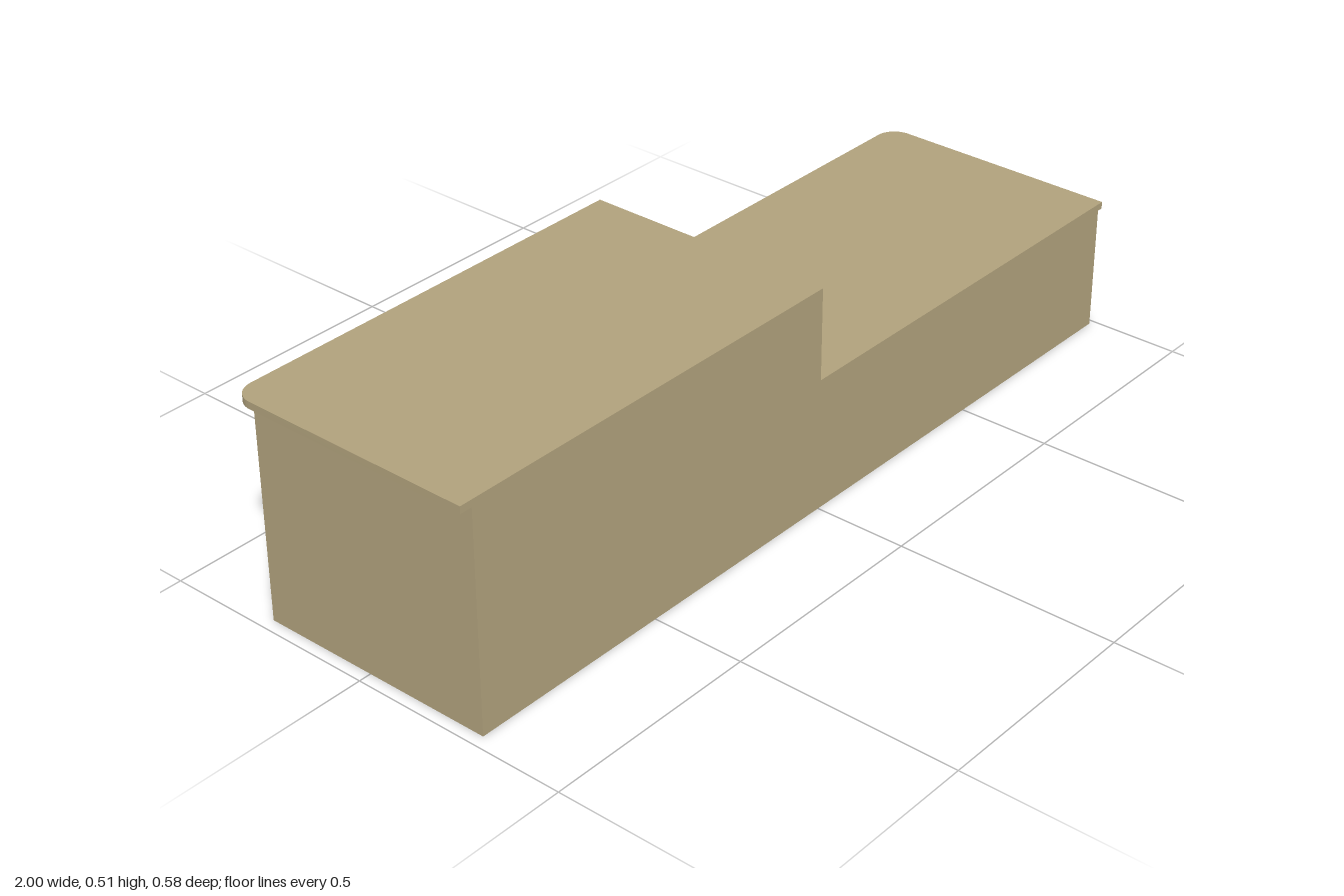
import * as THREE from 'three';
import { toCreasedNormals } from 'three/addons/utils/BufferGeometryUtils.js';

const FRONT = 0.29, BODY_BACK = -0.264, TOP_BACK = -0.29;
const THICK = 0.016, RADIUS = 0.048;
const LOW = 0.286, HIGH = 0.493; // undersides of the two tops

const tan = new THREE.MeshStandardMaterial({ color: 0xb0a17c });
tan.name = 'tan';

// Thin top with one rounded outer back corner; side is -1 or +1
function counterTop(name, side, y) {
  const s = new THREE.Shape();
  s.moveTo(0, -FRONT);
  s.lineTo(side, -FRONT);
  s.lineTo(side, -TOP_BACK - RADIUS);
  s.absarc(side * (1 - RADIUS), -TOP_BACK - RADIUS, RADIUS,
    side > 0 ? 0 : Math.PI, Math.PI / 2, side < 0);
  s.lineTo(0, -TOP_BACK);
  s.closePath();
  const geo = new THREE.ExtrudeGeometry(s, { depth: THICK, bevelEnabled: false, curveSegments: 10 });
  geo.rotateX(-Math.PI / 2);
  const mesh = new THREE.Mesh(toCreasedNormals(geo, 0.6), tan);
  mesh.name = name;
  mesh.position.y = y;
  return mesh;
}

export function createModel() {
  const group = new THREE.Group();
  group.name = 'steppedCounter';

  // Stepped cabinet body
  const profile = new THREE.Shape([
    [-0.972, 0], [0.986, 0], [0.986, LOW], [0, LOW], [0, HIGH], [-0.972, HIGH],
  ].map(([x, y]) => new THREE.Vector2(x, y)));
  const geo = new THREE.ExtrudeGeometry(profile, { depth: FRONT - BODY_BACK, bevelEnabled: false });
  geo.translate(0, 0, BODY_BACK);
  const body = new THREE.Mesh(geo, tan);
  body.name = 'cabinetBody';
  group.add(body);

  // Overhanging tops
  group.add(counterTop('highCounterTop', -1, HIGH));
  group.add(counterTop('lowCounterTop', 1, LOW));
  return group;
}
